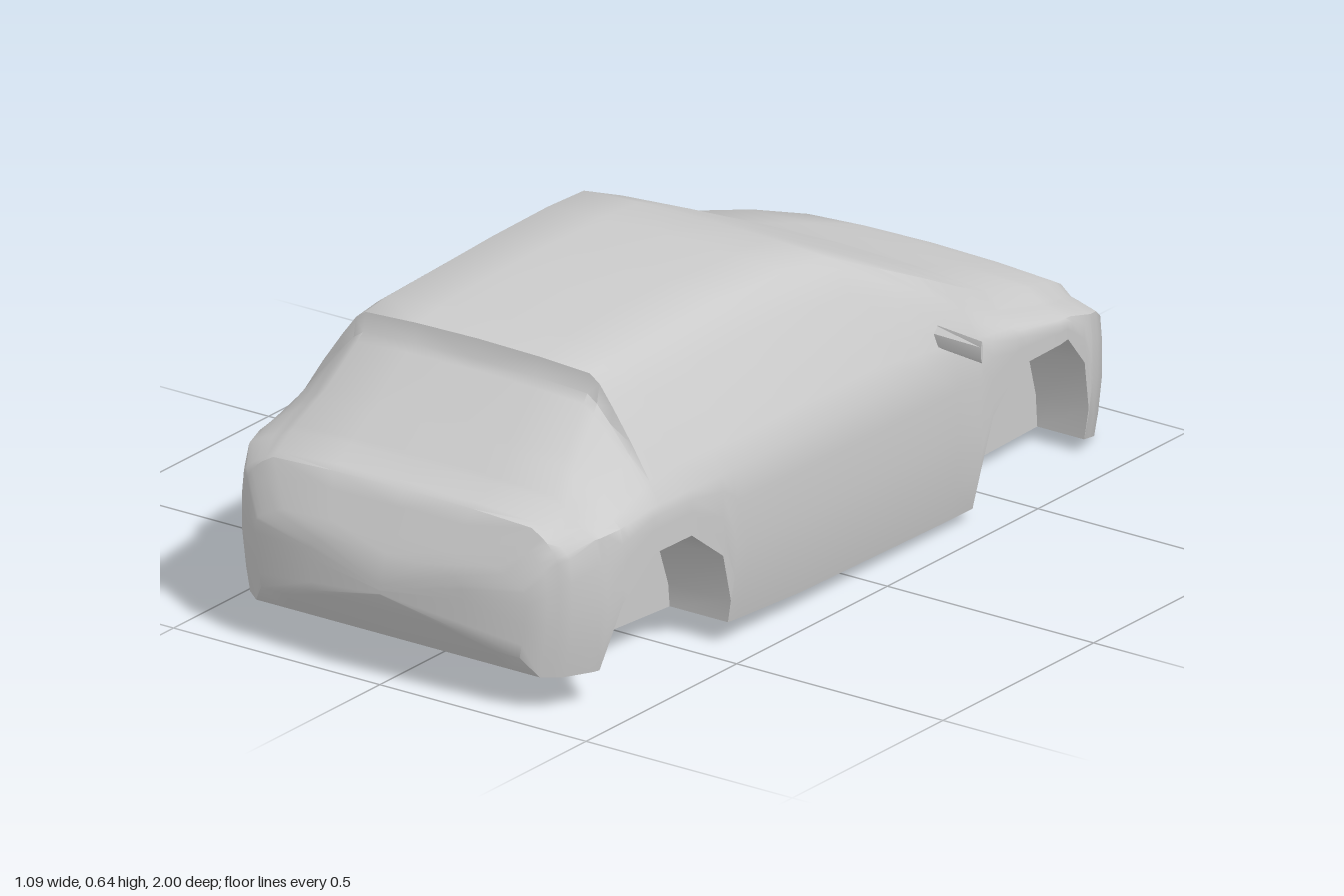
import * as THREE from 'three';
import { toCreasedNormals } from 'three/addons/utils/BufferGeometryUtils.js';

const material = new THREE.MeshStandardMaterial({ color: 0xcccccc });

// Body curves along z (nose at -1, tail at +1), as [z, value] pairs
const halfWidth = [[-1, 0], [-0.98, 0.13], [-0.93, 0.29], [-0.87, 0.385], [-0.785, 0.425], [-0.65, 0.446],
  [-0.3, 0.453], [0.4, 0.455], [0.8, 0.443], [0.85, 0.43], [0.91, 0.4], [0.965, 0.33], [1, 0]];
const floorY = [[-1, 0.15], [-0.95, 0.07], [-0.92, 0.005], [-0.87, 0], [-0.785, 0.03], [-0.38, 0.022],
  [0.2, 0.035], [0.435, 0.05], [0.835, 0.075], [0.94, 0.078], [0.965, 0.12], [1, 0.19]];
const topY = [[-1, 0.17], [-0.96, 0.24], [-0.93, 0.28], [-0.83, 0.335], [-0.7, 0.378], [-0.53, 0.432],
  [-0.3, 0.537], [-0.08, 0.63], [0.05, 0.64], [0.25, 0.645], [0.6, 0.634], [0.675, 0.625], [0.683, 0.585],
  [0.78, 0.495], [0.86, 0.425], [0.925, 0.39], [0.98, 0.27], [1, 0.21]];
const shoulderY = [[-1, 0.16], [-0.96, 0.18], [-0.93, 0.22], [-0.83, 0.285], [-0.7, 0.325], [-0.5, 0.36],
  [-0.3, 0.375], [0.7, 0.38], [0.86, 0.36], [0.925, 0.32], [0.965, 0.26], [1, 0.2]];
const roofEdgeX = [[-1, 0], [-0.98, 0.1], [-0.93, 0.23], [-0.87, 0.31], [-0.7, 0.37], [-0.42, 0.395],
  [-0.3, 0.395], [-0.2, 0.36], [-0.08, 0.32], [0.25, 0.3], [0.683, 0.295], [0.78, 0.315], [0.86, 0.345],
  [0.925, 0.34], [0.965, 0.28], [1, 0]];
const roofDrop = [[-1, 0.005], [-0.93, 0.03], [-0.7, 0.035], [-0.42, 0.055], [-0.08, 0.03], [0.683, 0.025],
  [0.9, 0.03], [1, 0.005]];
// Wheel arch outlines
const arches = [
  [[-0.785, 0.03], [-0.78, 0.1], [-0.75, 0.21], [-0.68, 0.285], [-0.51, 0.285], [-0.42, 0.21], [-0.386, 0.11], [-0.38, 0.022]],
  [[0.435, 0.05], [0.44, 0.1], [0.48, 0.21], [0.58, 0.285], [0.7, 0.285], [0.8, 0.21], [0.835, 0.075]],
];
const WELL_X = 0.29;

function at(curve, z) {
  const i = Math.min(Math.max(curve.findIndex((k) => k[0] >= z), 1), curve.length - 1);
  const [a, b] = [curve[i - 1], curve[i]];
  return THREE.MathUtils.lerp(a[1], b[1], (z - a[0]) / (b[0] - a[0]));
}

// Lower edge of the side panel: the floor, or the arch where there is one
function lowerEdge(z) {
  const arch = arches.find((a) => z >= a[0][0] && z <= a[a.length - 1][0]);
  return Math.max(at(floorY, z), arch ? at(arch, z) : 0);
}

// Closed cross-section: floor centre, wheel well, side, window, roof, then mirrored
function section(z) {
  const w = at(halfWidth, z), f = at(floorY, z), b = lowerEdge(z);
  const t = at(topY, z), drop = at(roofDrop, z), e = t - drop;
  const s = Math.min(at(shoulderY, z), e), r = Math.min(at(roofEdgeX, z), w);
  const inner = Math.min(WELL_X, w * 0.75);
  const half = [[0, f], [inner, f], [inner, b]];
  for (const k of [0, 0.2, 0.5, 0.8, 1]) {
    const y = b + (s - b) * k;
    const tuck = 0.05 * Math.max(0, 1 - (y - f) / 0.14) ** 1.5;
    half.push([w * (1 - tuck - (k === 1 ? 0.012 : 0)), y]);
  }
  const shoulderX = w * 0.988;
  for (const k of [0.2, 0.5, 0.8]) {
    half.push([
      Math.min(w, shoulderX + (r - shoulderX) * k + 0.025 * k * (1 - k)),
      s + (e - s) * k,
    ]);
  }
  half.push([r, e], [r * 0.92, e + drop * 0.65], [r * 0.5, t - drop * 0.1], [0, t]);
  const mirrored = half.slice(1, -1).reverse().map(([x, y]) => [-x, y]);
  return [...half, ...mirrored].map(([x, y]) => new THREE.Vector3(x, y, z));
}

function loft(rings) {
  const pos = [];
  const tri = (a, b, c) => {
    const area = b.clone().sub(a).cross(c.clone().sub(a)).length();
    if (area > 1e-9) for (const p of [a, b, c]) pos.push(p.x, p.y, p.z);
  };
  for (let i = 0; i < rings.length - 1; i++) {
    const n = rings[i].length;
    for (let j = 0; j < n; j++) {
      const k = (j + 1) % n;
      const [a, b, c, d] = [rings[i][j], rings[i][k], rings[i + 1][k], rings[i + 1][j]];
      // Mirror the diagonal so both sides match
      if (j < n / 2) { tri(a, b, c); tri(a, c, d); } else { tri(a, b, d); tri(b, c, d); }
    }
  }
  const geo = new THREE.BufferGeometry();
  geo.setAttribute('position', new THREE.Float32BufferAttribute(pos, 3));
  return toCreasedNormals(geo, 0.7);
}

// Thin door mirror that tapers outward and sweeps back
function doorMirror(side) {
  const geo = new THREE.CylinderGeometry(1, 1, 1, 6);
  const p = geo.attributes.position;
  for (let i = 0; i < p.count; i++) {
    const out = p.getY(i) + 0.5;
    const depth = THREE.MathUtils.lerp(0.022, 0.004, out);
    p.setXYZ(
      i,
      side * (0.4 + 0.147 * out),
      0.419 + 0.004 * out + side * p.getZ(i) * 0.023,
      -0.278 + 0.028 * out + p.getX(i) * depth,
    );
  }
  const mesh = new THREE.Mesh(toCreasedNormals(geo, 0.6), material);
  mesh.name = side > 0 ? 'leftDoorMirror' : 'rightDoorMirror';
  return mesh;
}

export function createModel() {
  const car = new THREE.Group();
  car.name = 'car';

  // Body shell with floor and wheel wells
  const curves = [halfWidth, floorY, topY, shoulderY, roofEdgeX, ...arches];
  const stations = [...new Set(curves.flat().map((k) => k[0]))].sort((a, b) => a - b);
  const body = new THREE.Mesh(loft(stations.map(section)), material);
  body.name = 'body';
  car.add(body);

  for (const side of [1, -1]) car.add(doorMirror(side));
  return car;
}
